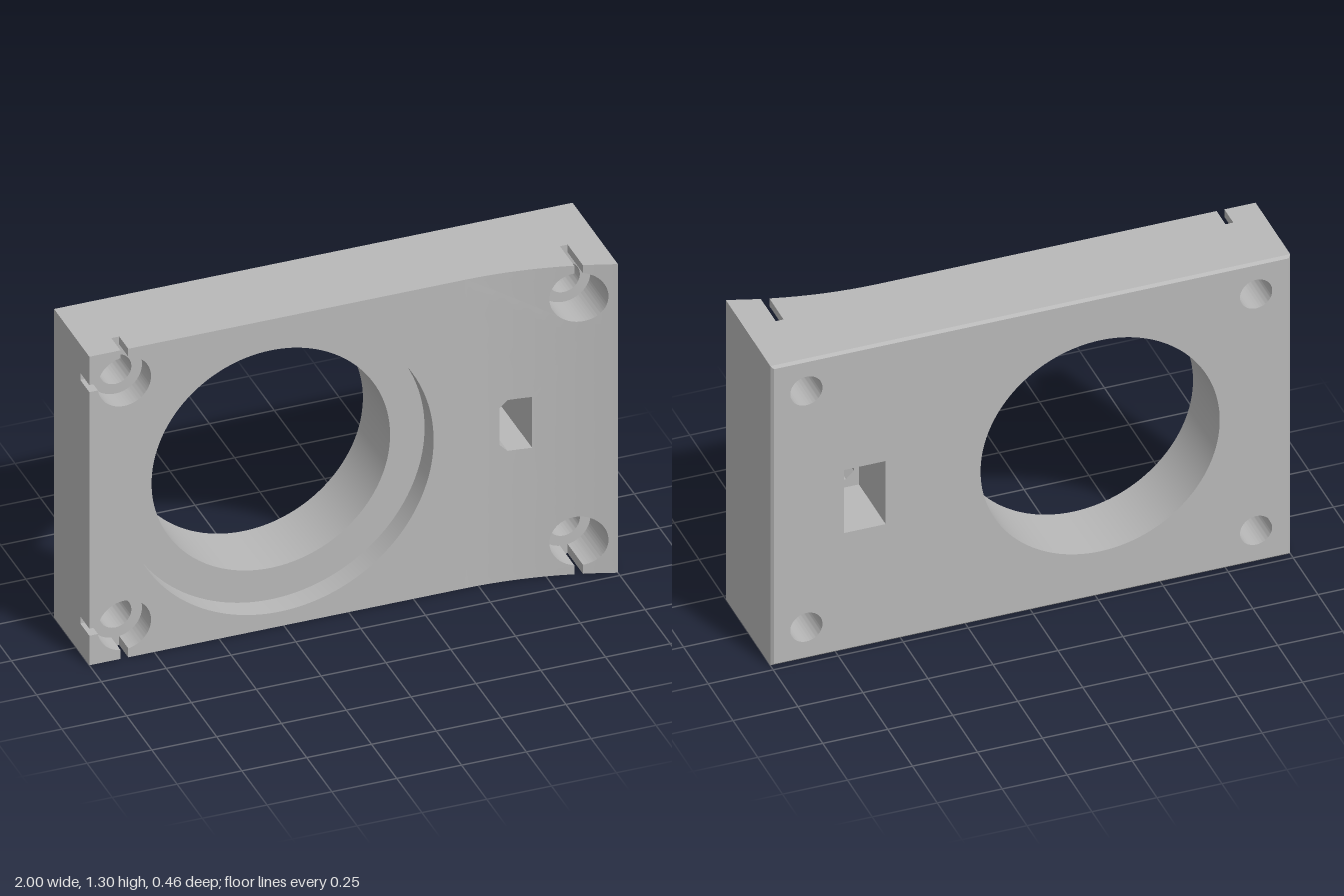
import * as THREE from 'three';
import { toCreasedNormals } from 'three/addons/utils/BufferGeometryUtils.js';

const H = 1.305;                        // plate height
const BACK = -0.23, FLOOR = 0.04, FRONT = 0.13;
const SPLIT = 0.45, FLARE = 0.1;        // the front face curves forward right of SPLIT
const SX = 0.865, SY = [0.14, H - 0.135]; // screw centres
const R = 0.103, S = 0.015;             // screw recess radius, slot half width
const A = Math.asin(S / R);
const BORE = { x: -0.265, y: 0.655 };

function polygon(points, Type = THREE.Shape) {
  return new Type(points.map(([x, y]) => new THREE.Vector2(x, y)));
}

function circle(x, y, r) {
  const p = new THREE.Path();
  p.absarc(x, y, r, 0, Math.PI * 2, true);
  return p;
}

function extrude(shape, z0, z1, curveSegments) {
  const g = new THREE.ExtrudeGeometry(shape, { depth: z1 - z0, bevelEnabled: false, curveSegments });
  return g.translate(0, 0, z0);
}

// Split every triangle into four so that a flat face can be bent
function subdivide(geometry) {
  const p = geometry.attributes.position, out = [];
  const v = [0, 1, 2].map(() => new THREE.Vector3());
  for (let i = 0; i < p.count; i += 3) {
    v.forEach((q, k) => q.fromBufferAttribute(p, i + k));
    const [a, b, c] = v;
    const ab = a.clone().lerp(b, 0.5), bc = b.clone().lerp(c, 0.5), ca = c.clone().lerp(a, 0.5);
    for (const q of [a, ab, ca, ab, b, bc, ca, bc, c, ab, bc, ca]) out.push(q.x, q.y, q.z);
  }
  const g = new THREE.BufferGeometry();
  g.setAttribute('position', new THREE.Float32BufferAttribute(out, 3));
  return g;
}

// Full outline with the through holes
function backShape(inset = 0) {
  const i = inset;
  const s = polygon([[-1 + i, i], [1 - i, i], [1 - i, H - i], [-1 + i, H - i]]);
  s.holes.push(circle(BORE.x, BORE.y, 0.46));
  for (const x of [-SX, SX]) for (const y of SY) s.holes.push(circle(x, y, 0.062));
  s.holes.push(polygon([[0.56, 0.515], [0.56, 0.79], [0.72, 0.79], [0.72, 0.515]], THREE.Path));
  return s;
}

// Front layer, left of the flare: wide bore, screw recesses open to slots
function frontShape() {
  const [b, t] = SY, PI = Math.PI;
  const s = new THREE.Shape();
  s.moveTo(-SX + S, 0);
  s.lineTo(SPLIT, 0);
  s.lineTo(SPLIT, H);
  s.lineTo(-SX + S, H);
  s.absarc(-SX, t, R, PI / 2 - A, PI + A, true);
  s.lineTo(-1, t - S);
  s.lineTo(-1, b + S);
  s.absarc(-SX, b, R, PI - A, -PI / 2 + A, true);
  s.closePath();
  s.holes.push(circle(BORE.x, BORE.y, 0.593));
  return s;
}

// Corner pieces cut off by the two slots
function cornerShapes() {
  const [b, t] = SY, PI = Math.PI;
  const top = polygon([[-SX - S, H], [-1, H], [-1, t + S]]);
  top.absarc(-SX, t, R, PI - A, PI / 2 + A, true);
  top.closePath();
  const bottom = polygon([[-1, b - S], [-1, 0], [-SX - S, 0]]);
  bottom.absarc(-SX, b, R, 1.5 * PI - A, PI + A, true);
  bottom.closePath();
  return [top, bottom];
}

// Front layer under the flare
function flareShape() {
  const [b, t] = SY, PI = Math.PI;
  const s = new THREE.Shape();
  s.moveTo(SPLIT, 0);
  s.lineTo(SX - S, 0);
  s.absarc(SX, b, R, -PI / 2 - A, -PI / 2 + A, true);
  s.lineTo(SX + S, 0);
  s.lineTo(1, 0);
  s.lineTo(1, H);
  s.lineTo(SX + S, H);
  s.absarc(SX, t, R, PI / 2 - A, PI / 2 + A, true);
  s.lineTo(SX - S, H);
  s.lineTo(SPLIT, H);
  s.closePath();
  s.holes.push(polygon([[0.58, 0.58], [0.58, 0.735], [0.61, 0.765], [0.7, 0.765], [0.7, 0.55], [0.61, 0.55]], THREE.Path));
  return s;
}

export function createModel() {
  const group = new THREE.Group();
  group.name = 'mountingPlate';
  const grey = new THREE.MeshStandardMaterial({ color: 0xb8b8b8 });
  grey.name = 'grey';
  const add = (name, geometry) => {
    const mesh = new THREE.Mesh(toCreasedNormals(geometry, 0.5), grey);
    mesh.name = name;
    group.add(mesh);
  };

  add('backPlate', extrude(backShape(), BACK + 0.01, FLOOR, 72));

  // Thin chamfered rim around the back face
  const rim = extrude(backShape(), BACK, BACK + 0.01, 72);
  const rp = rim.attributes.position;
  for (let i = 0; i < rp.count; i++) {
    if (rp.getZ(i) > BACK + 0.005) continue;
    const x = rp.getX(i), y = rp.getY(i);
    rp.setXY(i, THREE.MathUtils.clamp(x, -0.99, 0.99), THREE.MathUtils.clamp(y, 0.01, H - 0.01));
  }
  add('backRim', rim);

  add('frontPlate', extrude(frontShape(), FLOOR, FRONT, 72));
  cornerShapes().forEach((s, i) => add(['topCorner', 'bottomCorner'][i], extrude(s, FLOOR, FRONT, 12)));

  // Bend the front face forward towards the side
  let flare = extrude(flareShape(), FLOOR, FRONT, 32);
  for (let i = 0; i < 3; i++) flare = subdivide(flare);
  const fp = flare.attributes.position;
  for (let i = 0; i < fp.count; i++) {
    const k = (fp.getX(i) - SPLIT) / (1 - SPLIT);
    const t = (fp.getZ(i) - FLOOR) / (FRONT - FLOOR);
    fp.setZ(i, fp.getZ(i) + t * FLARE * k * k);
  }
  add('flaredFront', flare);

  return group;
}
